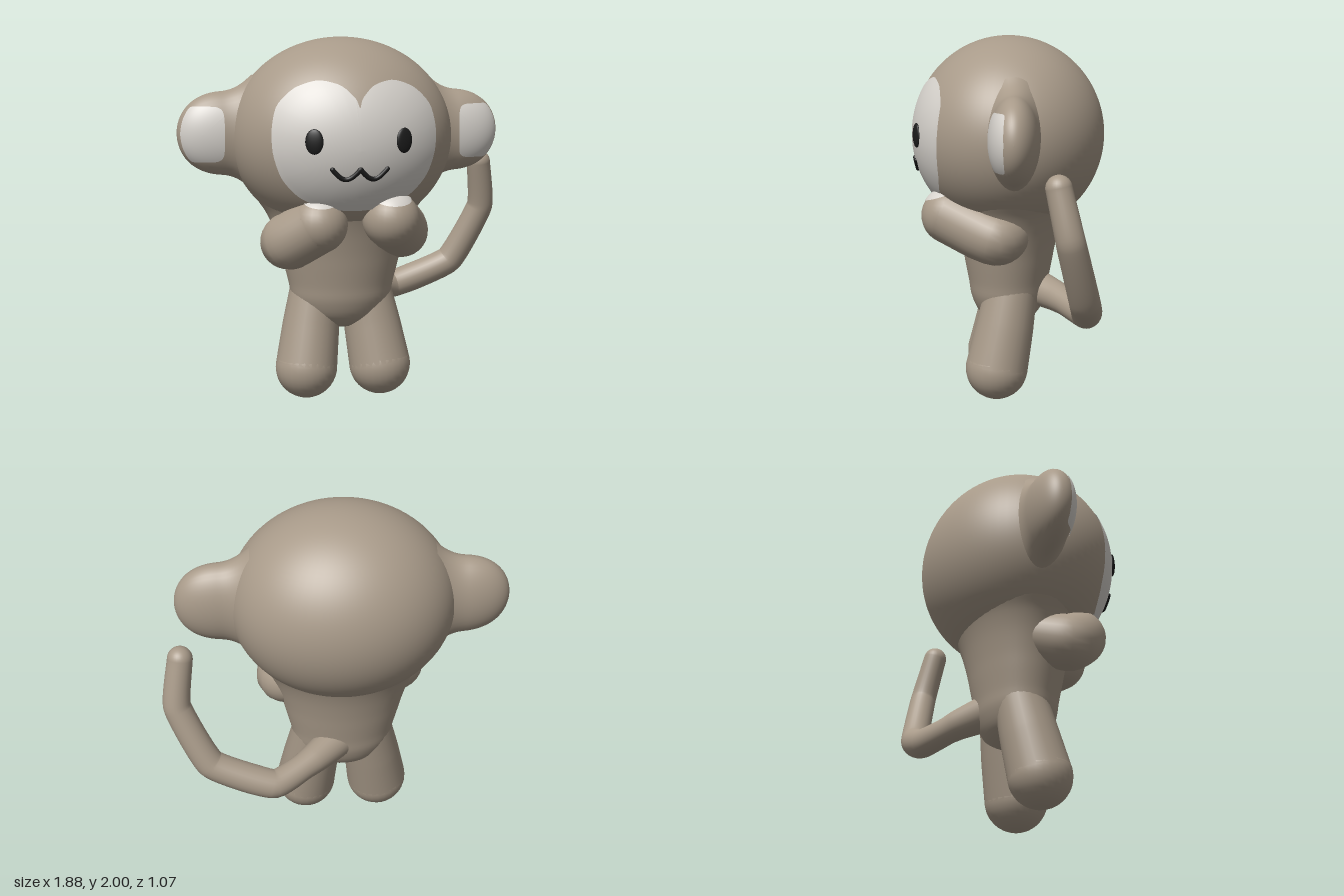
import * as THREE from 'three';
import { mergeGeometries } from 'three/addons/utils/BufferGeometryUtils.js';

const fur = new THREE.MeshStandardMaterial({ color: 0xa89a89 });
fur.name = 'taupe fur';
const pale = new THREE.MeshStandardMaterial({ color: 0xd6d2cc, side: THREE.DoubleSide });
pale.name = 'pale skin';
const black = new THREE.MeshStandardMaterial({ color: 0x1c1c1c });
black.name = 'black';

const CX = -0.04; // symmetry plane of the body
const HEAD = { y: 1.46, rx: 0.615, ry: 0.54, rz: 0.53 };
const EAR = { y: 1.48, z: -0.028, flat: 0.56 };
const V = (x, y, z) => new THREE.Vector3(x, y, z);

// Front surface of the head at an offset from the symmetry plane
function headPoint(dx, y, lift) {
  const q = 1 - (dx / HEAD.rx) ** 2 - ((y - HEAD.y) / HEAD.ry) ** 2;
  return V(CX + dx, y, HEAD.rz * Math.sqrt(Math.max(q, 0)) + lift);
}

// Ear radius at a distance from the symmetry plane: rounded tip, flared root
function earRadius(s) {
  const tip = Math.max(0, (s - 0.6) / 0.3);
  return 0.23 * Math.sqrt(Math.max(0, 1 - tip ** 2.6)) + 3 * Math.max(0, 0.66 - s) ** 2;
}

// Rounded limb: tube through the points with varying radius and ball ends
function limb(points, radii, tension = 0.3) {
  const curve = new THREE.CatmullRomCurve3(points, false, 'catmullrom', tension);
  const n = points.length * 12, sides = 28;
  const tube = new THREE.TubeGeometry(curve, n, 1, sides, false);
  const pos = tube.attributes.position, v = V(0, 0, 0);
  for (let i = 0; i <= n; i++) {
    const c = curve.getPointAt(i / n);
    const f = (i / n) * (radii.length - 1);
    const k = Math.min(Math.floor(f), radii.length - 2);
    const r = THREE.MathUtils.lerp(radii[k], radii[k + 1], f - k);
    for (let j = 0; j <= sides; j++) {
      const id = i * (sides + 1) + j;
      v.fromBufferAttribute(pos, id).sub(c).multiplyScalar(r).add(c);
      pos.setXYZ(id, v.x, v.y, v.z);
    }
  }
  const ball = (p, r) => new THREE.SphereGeometry(r, 28, 20).translate(p.x, p.y, p.z);
  return mergeGeometries([tube, ball(points[0], radii[0]), ball(points.at(-1), radii.at(-1))]);
}

// Thin patch: fills a smooth closed outline and lays it on a surface
function patch(outline, cx, cy, surface) {
  const curve = new THREE.CatmullRomCurve3(outline.map(([x, y]) => V(x, y, 0)), true, 'catmullrom', 0.4);
  const rings = 16, n = 96, positions = [], index = [];
  for (let i = 0; i <= rings; i++) {
    for (let j = 0; j <= n; j++) {
      const p = curve.getPoint((j % n) / n), t = i / rings;
      positions.push(...surface(cx + (p.x - cx) * t, cy + (p.y - cy) * t).toArray());
      if (i === rings || j === n) continue;
      const a = i * (n + 1) + j, b = a + n + 1;
      index.push(a, b, b + 1, a, b + 1, a + 1);
    }
  }
  const g = new THREE.BufferGeometry();
  g.setAttribute('position', new THREE.Float32BufferAttribute(positions, 3));
  g.setIndex(index);
  g.computeVertexNormals();
  return g;
}

export function createModel() {
  const model = new THREE.Group();
  const add = (name, geometry, material) => {
    const mesh = new THREE.Mesh(geometry, material);
    mesh.name = name;
    model.add(mesh);
    return mesh;
  };

  // Head
  add('head', new THREE.SphereGeometry(1, 72, 56).scale(HEAD.rx, HEAD.ry, HEAD.rz)
    .translate(CX, HEAD.y, 0), fur);

  // Heart-topped face, listed from the notch around one half and mirrored
  const half = [[0.02, 1.69], [0.09, 1.755], [0.2, 1.78], [0.32, 1.74], [0.41, 1.65], [0.44, 1.53],
    [0.435, 1.4], [0.39, 1.27], [0.3, 1.17], [0.17, 1.11]];
  const face = [[0, 1.64], ...half, [0, 1.09], ...half.map(([x, y]) => [-x, y]).reverse()];
  face.reverse();
  add('face', patch(face, 0, 1.42, (x, y) => headPoint(x, y, 0.006)), pale);

  // Eyes, turned to follow the head
  for (const side of [-1, 1]) {
    const eye = add(side > 0 ? 'leftEye' : 'rightEye',
      new THREE.SphereGeometry(1, 28, 18).scale(0.048, 0.066, 0.016), black);
    eye.position.copy(headPoint(side * 0.238, 1.47, 0.006));
    eye.rotation.y = side * 0.38;
  }

  // Mouth, two hanging arcs side by side
  const mouth = [];
  for (let i = 0; i <= 24; i++) {
    const dx = -0.145 + (0.29 * i) / 24;
    mouth.push(headPoint(dx, 1.325 - 0.053 * Math.abs(Math.sin((dx / 0.145) * Math.PI)), 0.006));
  }
  add('mouth', limb(mouth, [0.013, 0.013]), black);

  // Ears with pale fronts
  const profile = [];
  for (let i = 0; i <= 36; i++) {
    const s = 0.49 + 0.41 * Math.sin((i / 36) * Math.PI / 2);
    profile.push(new THREE.Vector2(earRadius(s), s));
  }
  const earHalf = [[0.655, 0.1], [0.685, 0.145], [0.77, 0.15], [0.83, 0.145], [0.87, 0.08]];
  const earOutline = [...earHalf, [0.885, 0], ...earHalf.map(([x, y]) => [x, -y]).reverse()];
  for (const side of [-1, 1]) {
    const name = side > 0 ? 'left' : 'right';
    add(name + 'Ear', new THREE.LatheGeometry(profile, 40).rotateZ(-side * Math.PI / 2)
      .scale(1, 1, EAR.flat).translate(CX, EAR.y, EAR.z), fur);
    add(name + 'EarInner', patch(earOutline, 0.77, 0, (s, y) => {
      const depth = Math.sqrt(Math.max(0, earRadius(s) ** 2 - y * y));
      return V(CX + side * s, EAR.y + y, EAR.z + EAR.flat * depth + 0.006);
    }), pale);
  }

  // Torso, flaring into the head
  const torso = new THREE.SplineCurve([[0, 0.38], [0.12, 0.4], [0.22, 0.46], [0.275, 0.55], [0.295, 0.64],
    [0.32, 0.74], [0.345, 0.84], [0.38, 0.95], [0.42, 1.04], [0.46, 1.1]].map(([x, y]) => new THREE.Vector2(x, y)));
  const rim = torso.getPoints(40);
  rim.forEach((p) => { p.x = Math.max(p.x, 0); });
  add('torso', new THREE.LatheGeometry(rim, 48).scale(1, 1, 0.76).translate(CX, 0, 0), fur);

  // Legs, hips slimmer than the round feet
  for (const side of [-1, 1]) {
    add(side > 0 ? 'leftLeg' : 'rightLeg', limb([V(CX + side * 0.14, 0.6, -0.015),
      V(CX + side * 0.175, 0.4, 0.02), V(CX + side * 0.21, 0.172, 0.065)], [0.145, 0.16, 0.172]), fur);
  }

  // Arms folded up to the chin, the right one held a little further forward
  const arms = [
    ['left', V(0.2, 0.95, 0), V(0.29, 0.925, 0.07), V(0.17, 1.03, 0.32), 0.7],
    ['right', V(-0.28, 0.95, 0.04), V(-0.365, 0.905, 0.19), V(-0.22, 1.01, 0.3), 0.6],
  ];
  for (const [name, shoulder, elbow, hand, spread] of arms) {
    add(name + 'Arm', limb([shoulder, elbow, hand], [0.14, 0.155, 0.155]), fur);
    // Pale top of the hand, under the chin
    add(name + 'HandTop', new THREE.SphereGeometry(0.159, 28, 10, 0, Math.PI * 2, 0, spread)
      .rotateX(0.3).translate(hand.x, hand.y, hand.z), pale);
  }

  // Tail, sweeping out to the left and up
  add('tail', limb([V(-0.02, 0.61, -0.12), V(0.14, 0.57, -0.27), V(0.36, 0.525, -0.415),
    V(0.7, 0.665, -0.39), V(0.865, 1.0, -0.31), V(0.835, 1.27, -0.25)],
  [0.105, 0.075, 0.083, 0.08, 0.076, 0.068], 0.22), fur);

  return model;
}
